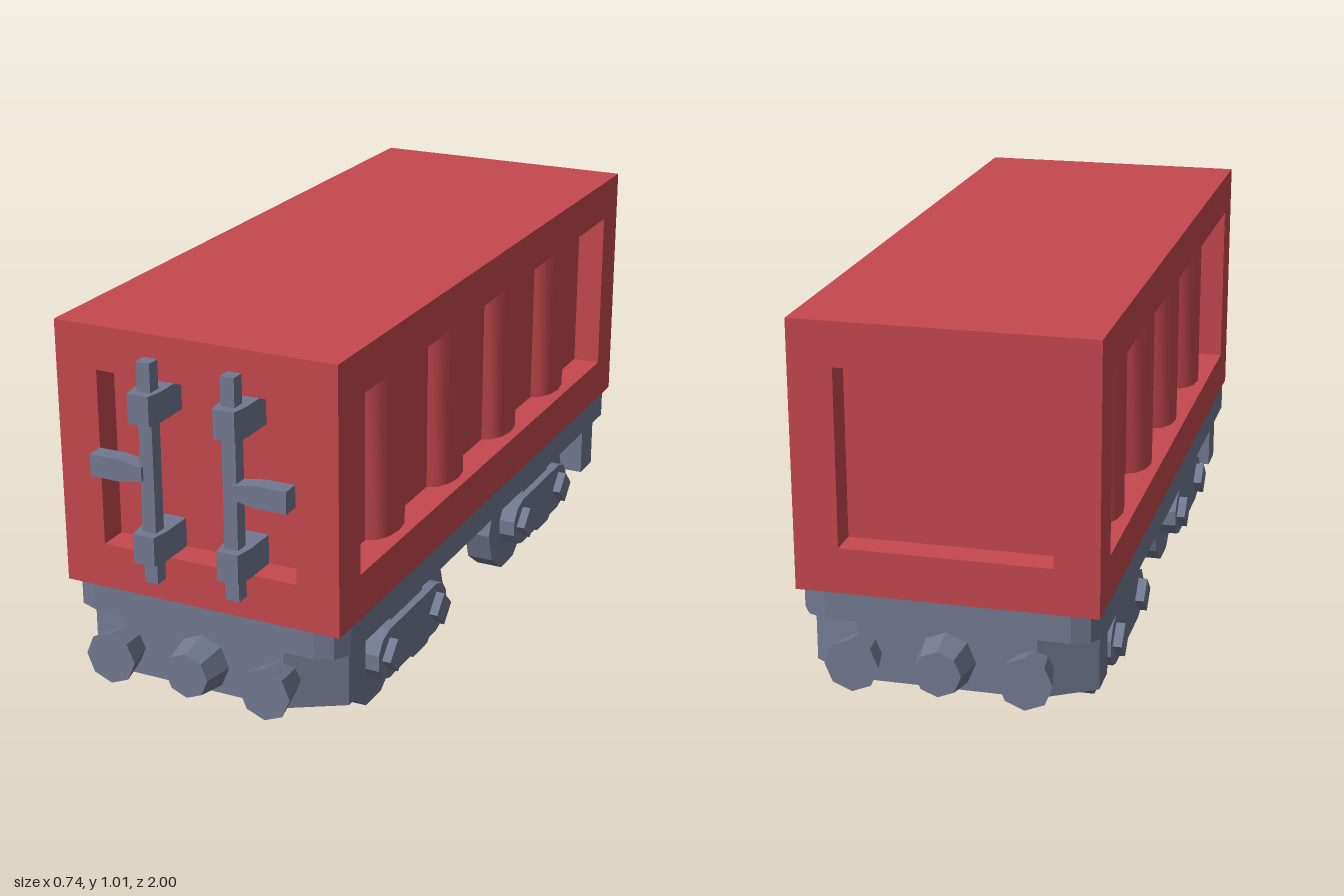
import * as THREE from 'three';
import { toCreasedNormals } from 'three/addons/utils/BufferGeometryUtils.js';

function material(name, color) {
  const m = new THREE.MeshStandardMaterial({ color });
  m.name = name;
  return m;
}

export function createModel() {
  const red = material('container red', 0xc4484e);
  const steel = material('steel blue grey', 0x72788f);
  const dark = material('axle black', 0x242424);
  const root = new THREE.Group();
  root.name = 'containerWagon';

  function add(parent, name, geo, mat, x = 0, y = 0, z = 0) {
    const mesh = new THREE.Mesh(geo, mat);
    mesh.name = name;
    mesh.position.set(x, y, z);
    parent.add(mesh);
  }
  function group(parent, name) {
    const g = new THREE.Group();
    g.name = name;
    parent.add(g);
    return g;
  }
  const extrude = (shape, depth) =>
    new THREE.ExtrudeGeometry(shape, { depth, bevelEnabled: false });
  const polygon = pts => new THREE.Shape(pts.map(p => new THREE.Vector2(p[0], p[1])));
  // Plan outline of [x, z] points raised from y0 to y1
  const planPrism = (pts, y0, y1) =>
    extrude(polygon(pts.map(([x, z]) => [x, -z])), y1 - y0).rotateX(-Math.PI / 2).translate(0, y0, 0);
  // Faceted round bar
  const faceted = (r1, r2, len, sides) => {
    const g = new THREE.CylinderGeometry(r1, r2, len, sides).toNonIndexed();
    g.computeVertexNormals();
    return g;
  };
  // Panel with a rectangular opening, facing +z
  function framePanel(w, openW) {
    const s = polygon([[-w, 0.34], [w, 0.34], [w, 1.01], [-w, 1.01]]);
    s.holes.push(polygon([[-openW, 0.455], [-openW, 0.9], [openW, 0.9], [openW, 0.455]]));
    return extrude(s, 0.075);
  }
  // Capsule outline around two axle centres
  function capsule(half, r, segments) {
    const pts = [];
    for (let e = 0; e < 2; e++)
      for (let i = 0; i <= segments; i++) {
        const a = e * Math.PI - Math.PI / 2 + Math.PI * i / segments;
        pts.push([(e ? -half : half) + r * Math.cos(a), r * Math.sin(a)]);
      }
    return polygon(pts);
  }

  // Container with recessed panels
  const box = group(root, 'container');
  add(box, 'containerCore', new THREE.BoxGeometry(0.59, 0.67, 1.7), red, 0, 0.675, 0);
  const ribPts = [];
  for (let i = 0; i <= 6; i++) {
    const t = Math.PI * i / 6;
    ribPts.push([0.05 * Math.sin(t), 0.09 * Math.cos(t)]);
  }
  const ribGeo = toCreasedNormals(planPrism(ribPts, 0.455, 0.9), 0.9);
  for (const turn of [0, Math.PI]) {
    const side = group(box, 'containerSide');
    side.rotation.y = turn;
    add(side, 'sidePanel', framePanel(0.925, 0.815).rotateY(Math.PI / 2), red, 0.295);
    for (const z of [-0.545, -0.182, 0.182, 0.545])
      add(side, 'corrugation', ribGeo, red, 0.295, 0, z);
    add(side, 'endPanel', framePanel(0.295, 0.26), red, 0, 0, 0.85);
  }

  // Door locking bars on the front
  const clampGeo = planPrism([[-0.036, 0.85], [0.036, 0.85], [0.036, 0.94], [0.028, 0.985],
    [-0.028, 0.985], [-0.036, 0.94]], 0, 0.074);
  for (const s of [-1, 1]) {
    const lock = group(root, 'doorLock');
    add(lock, 'lockBar', new THREE.BoxGeometry(0.036, 0.555, 0.036), steel, s * 0.11, 0.675, 0.943);
    for (const y of [0.455, 0.807]) add(lock, 'lockClamp', clampGeo, steel, s * 0.112, y, 0);
    const handle = polygon([[0.12, -0.018], [0.185, -0.028], [0.26, -0.028],
      [0.26, 0.028], [0.185, 0.028], [0.12, 0.018]].map(([x, y]) => [s * x, y]));
    add(lock, 'lockHandle', extrude(handle, 0.045), steel, 0, 0.677, 0.925);
  }

  // Chassis slab with cut corners
  const chassis = group(root, 'chassis');
  add(chassis, 'deck', planPrism([[-0.37, -0.865], [-0.345, -0.905], [-0.3, -0.922], [0.3, -0.922],
    [0.345, -0.905], [0.37, -0.865], [0.37, 0.865], [0.345, 0.905], [0.3, 0.922],
    [-0.3, 0.922], [-0.345, 0.905], [-0.37, 0.865]], 0.27, 0.34), steel);
  add(chassis, 'centreBeam', new THREE.BoxGeometry(0.44, 0.072, 0.62), steel, 0, 0.235, 0);
  add(chassis, 'underTank', extrude(polygon([[-0.31, 0.272], [-0.19, 0.12], [0.19, 0.12],
    [0.31, 0.272]]), 0.22), steel, 0, 0, -0.11);

  // End beams with two bumpers and a coupler
  for (const turn of [0, Math.PI]) {
    const end = group(chassis, 'wagonEnd');
    end.rotation.y = turn;
    add(end, 'endBeam', planPrism([[-0.352, 0.75], [0.352, 0.75], [0.352, 0.84],
      [0.22, 0.92], [-0.22, 0.92], [-0.352, 0.84]], 0.12, 0.272), steel);
    for (const x of [-0.21, 0.21])
      add(end, 'bumper', faceted(0.067, 0.045, 0.1, 8).rotateX(Math.PI / 2), steel, x, 0.193, 0.95);
    add(end, 'coupler', faceted(0.058, 0.074, 0.09, 8).rotateX(Math.PI / 2), steel, 0, 0.193, 0.955);
  }

  // Two four-wheel bogies
  for (const z of [-0.445, 0.445]) {
    const bogie = group(root, 'bogie');
    bogie.position.set(0, 0.135, z);
    const drum = extrude(capsule(0.142, 0.085, 12), 0.46).rotateY(Math.PI / 2);
    add(bogie, 'axleDrum', toCreasedNormals(drum, 0.6), dark, -0.23);
    for (const s of [-1, 1]) {
      add(bogie, 'bogieFrame', extrude(capsule(0.142, 0.067, 5), 0.05).rotateY(Math.PI / 2),
        steel, s * 0.315 - 0.025);
      add(bogie, 'bogieBracket', new THREE.BoxGeometry(0.1, 0.085, 0.19), steel, s * 0.27, 0.1, 0);
      for (const dz of [-0.142, 0.142]) {
        add(bogie, 'wheel', faceted(0.142, 0.142, 0.073, 10).rotateZ(Math.PI / 2),
          steel, s * 0.259, 0, dz);
        add(bogie, 'axleBolt', faceted(0.045, 0.045, 0.03, 4).rotateZ(Math.PI / 2),
          steel, s * 0.348, 0, dz);
      }
    }
  }
  return root;
}
